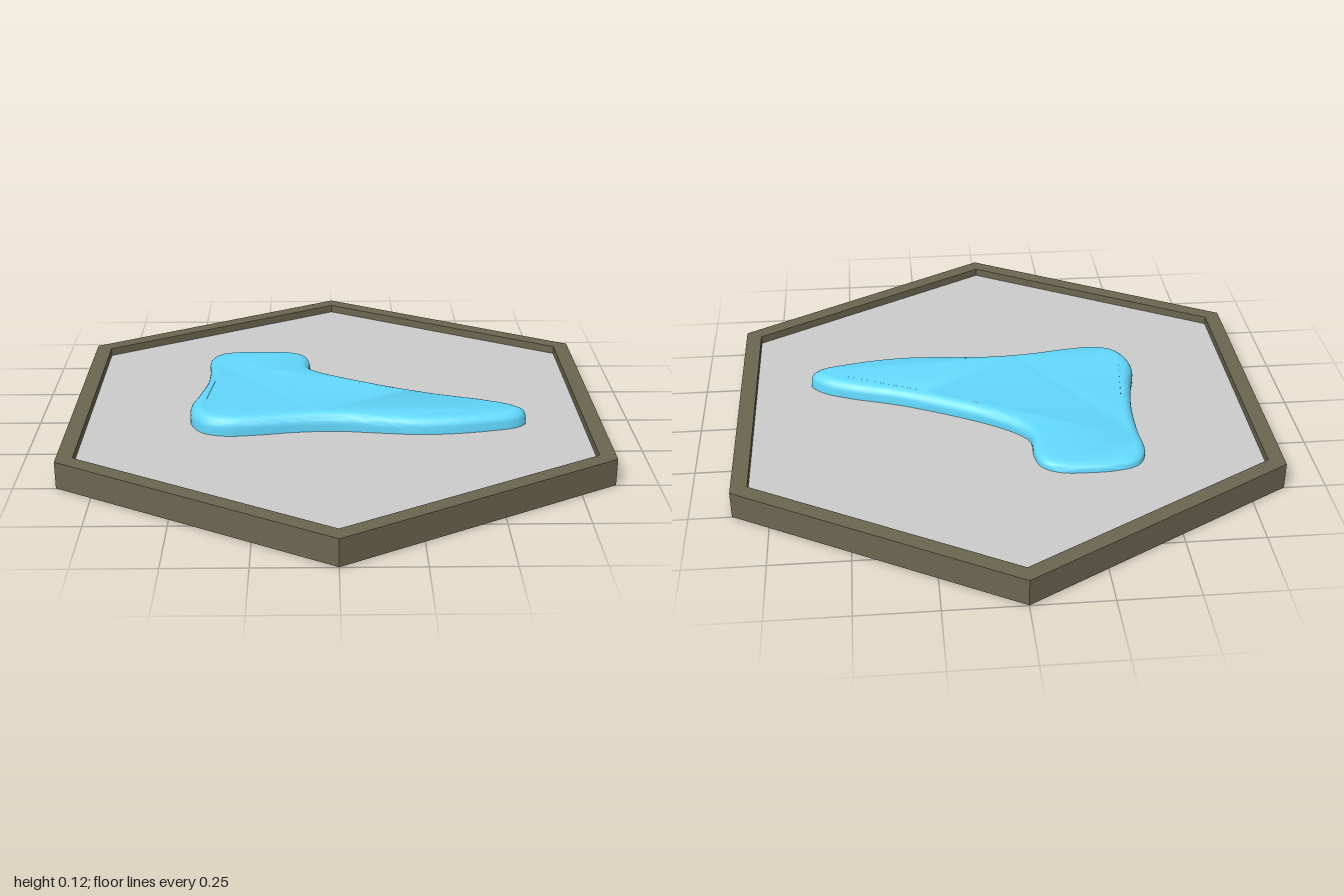
import * as THREE from 'three';
import { toCreasedNormals } from 'three/addons/utils/BufferGeometryUtils.js';

const RIM_TOP = 0.09, FLOOR_TOP = 0.063;
const smooth = THREE.MathUtils.smoothstep;

// Hexagon corners with points towards front and back
const hexPoints = (r) => Array.from({ length: 6 }, (_, i) => {
  const a = Math.PI / 2 + i * Math.PI / 3;
  return new THREE.Vector2(r * Math.cos(a), r * Math.sin(a));
});

function addMesh(group, name, geometry, color) {
  const mesh = new THREE.Mesh(geometry, new THREE.MeshStandardMaterial({ color }));
  mesh.name = name;
  group.add(mesh);
}

// Height of the foot's top: sloping down to the ankle, a little lower at the toes
function footHeight(x, z) {
  return 0.125 - 0.002 * smooth(-z, -0.2, 0) - 0.073 * Math.max(0, -z) - 0.008 * smooth(x, -0.05, 0.3);
}

function footGeometry() {
  const outline = [
    [-0.44, -0.37], [-0.41, -0.425], [-0.34, -0.448], [-0.25, -0.452], [-0.16, -0.444], [-0.105, -0.41],
    [-0.086, -0.35], [-0.083, -0.26], [-0.05, -0.215], [0.02, -0.16], [0.16, -0.08], [0.33, 0],
    [0.5, 0.06], [0.59, 0.105], [0.63, 0.155], [0.6, 0.195], [0.5, 0.225], [0.38, 0.245],
    [0.27, 0.25], [0.13, 0.235], [0, 0.22], [-0.13, 0.228], [-0.27, 0.25], [-0.36, 0.255],
    [-0.43, 0.23], [-0.47, 0.17], [-0.478, 0.1], [-0.46, 0.02], [-0.438, -0.12], [-0.435, -0.25],
  ].map(([x, z]) => new THREE.Vector3(x, -z, 0));
  const curve = new THREE.CatmullRomCurve3(outline, true);
  const points = curve.getSpacedPoints(140).slice(0, -1).map((p) => new THREE.Vector2(p.x, p.y));

  const depth = 0.4, bevel = 0.6;
  const geometry = new THREE.ExtrudeGeometry(new THREE.Shape(points), {
    depth, bevelEnabled: true, bevelThickness: bevel, bevelSize: 0.035, bevelOffset: -0.035, bevelSegments: 7,
  });
  geometry.rotateX(-Math.PI / 2);
  // Squash the unit-high body between the floor and the sloping top
  const pos = geometry.attributes.position;
  for (let i = 0; i < pos.count; i++) {
    const t = Math.max(0, pos.getY(i)) / (depth + bevel);
    const base = FLOOR_TOP - 0.005;
    pos.setY(i, base + t * (footHeight(pos.getX(i), pos.getZ(i)) - base));
  }
  geometry.deleteAttribute('normal');
  return toCreasedNormals(geometry, 1.1);
}

export function createModel() {
  const group = new THREE.Group();
  group.name = 'hexagonFootTile';

  // Raised border
  const ring = new THREE.Shape(hexPoints(1));
  ring.holes.push(new THREE.Path(hexPoints(0.94)));
  const rim = new THREE.ExtrudeGeometry(ring, { depth: RIM_TOP - 0.001, bevelEnabled: false });
  rim.rotateX(-Math.PI / 2).translate(0, 0.001, 0);
  addMesh(group, 'rim', rim, 0x6b6650);

  // Recessed floor panel
  const floor = new THREE.ExtrudeGeometry(new THREE.Shape(hexPoints(0.94)), { depth: FLOOR_TOP, bevelEnabled: false });
  floor.rotateX(-Math.PI / 2);
  addMesh(group, 'floorPanel', floor, 0xcccccc);

  // Flat underside
  const underside = new THREE.ShapeGeometry(new THREE.Shape(hexPoints(1)));
  underside.rotateX(Math.PI / 2);
  addMesh(group, 'underside', underside, 0xcccccc);

  addMesh(group, 'foot', footGeometry(), 0x62d8fc);
  return group;
}
